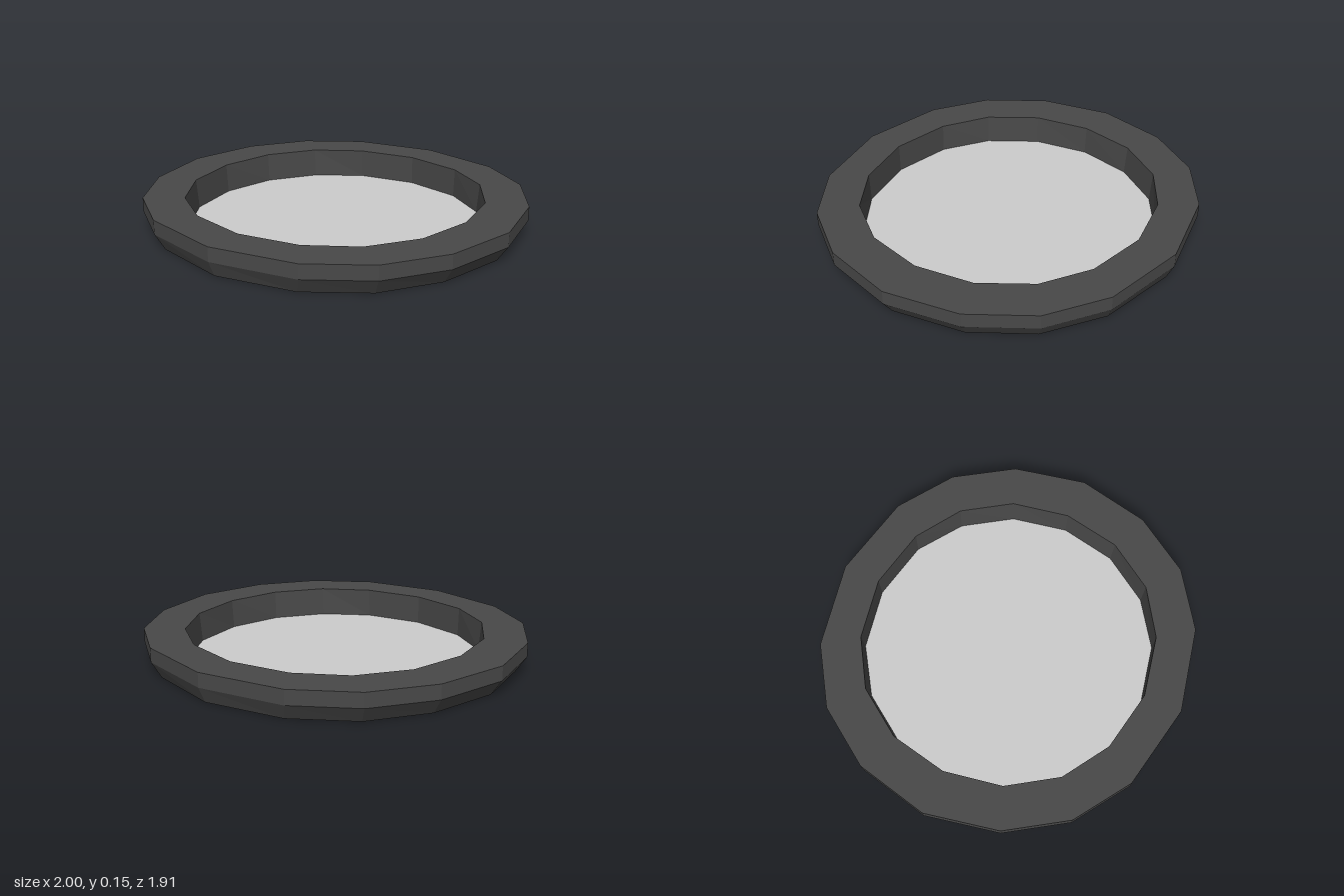
import * as THREE from 'three';

// Mirror one quadrant (from +x to +z) into a closed 16-point outline
function outline(quarter) {
  const half = [...quarter, ...quarter.slice(0, -1).reverse().map(([x, z]) => [-x, z])];
  return [...half, ...half.slice(1, -1).reverse().map(([x, z]) => [x, -z])];
}

// Skin a closed sequence of outlines, each at its own height
function loft(rings) {
  const positions = [];
  rings.forEach((low, r) => {
    const high = rings[(r + 1) % rings.length];
    const n = low.points.length;
    for (let i = 0; i < n; i++) {
      const j = (i + 1) % n;
      const at = (ring, k) => [ring.points[k][0], ring.y, ring.points[k][1]];
      const a = at(low, i), b = at(high, i), c = at(high, j), d = at(low, j);
      positions.push(...a, ...b, ...c, ...a, ...c, ...d);
    }
  });
  const geometry = new THREE.BufferGeometry();
  geometry.setAttribute('position', new THREE.Float32BufferAttribute(positions, 3));
  geometry.computeVertexNormals();
  return geometry;
}

export function createModel() {
  const group = new THREE.Group();
  group.name = 'roundTray';

  const outer = outline([[1, 0], [0.92, 0.38], [0.728, 0.674], [0.442, 0.866], [0, 0.956]]);
  const base = outline([[0.945, 0], [0.87, 0.36], [0.69, 0.64], [0.408, 0.832], [0, 0.92]]);
  const innerTop = outline([[0.773, 0], [0.717, 0.3], [0.556, 0.543], [0.318, 0.695], [0, 0.757]]);
  const innerBase = outline([[0.763, 0], [0.706, 0.294], [0.545, 0.538], [0.314, 0.695], [0, 0.757]]);

  // Dark rim with a bevelled lower edge
  const rim = new THREE.Mesh(
    loft([
      { points: base, y: 0 },
      { points: outer, y: 0.08 },
      { points: outer, y: 0.154 },
      { points: innerTop, y: 0.154 },
      { points: innerBase, y: 0 },
    ]),
    new THREE.MeshStandardMaterial({ color: 0x484848, flatShading: true })
  );
  rim.name = 'rim';

  // Flat pale floor closing the opening
  const shape = new THREE.Shape(innerBase.map(([x, z]) => new THREE.Vector2(x, z)));
  const floor = new THREE.Mesh(
    new THREE.ShapeGeometry(shape).rotateX(-Math.PI / 2),
    new THREE.MeshStandardMaterial({ color: 0xcccccc, flatShading: true, side: THREE.DoubleSide })
  );
  floor.name = 'floor';

  group.add(rim, floor);
  return group;
}
